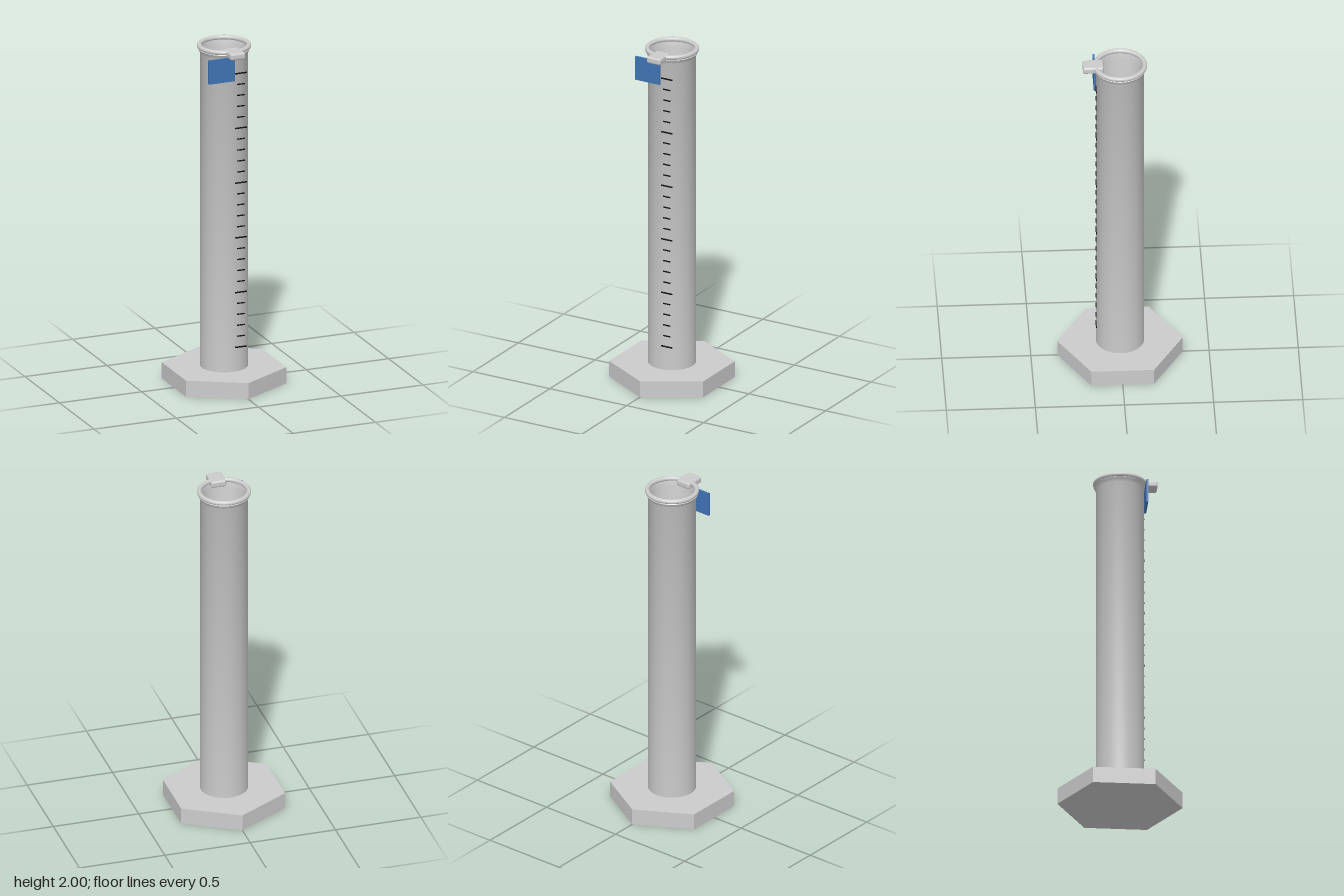
import * as THREE from 'three';
import { RoundedBoxGeometry } from 'three/addons/geometries/RoundedBoxGeometry.js';
import { toCreasedNormals } from 'three/addons/utils/BufferGeometryUtils.js';

export function createModel() {
  const model = new THREE.Group();
  model.name = 'measuringCylinder';
  const grey = new THREE.MeshStandardMaterial({ color: 0xcccccc });
  const facetedGrey = new THREE.MeshStandardMaterial({ color: 0xcccccc, flatShading: true });
  const black = new THREE.MeshStandardMaterial({ color: 0x111111 });
  const blue = new THREE.MeshStandardMaterial({ color: 0x3f74b5 });

  function add(parent, name, geometry, material, x = 0, y = 0, z = 0) {
    const mesh = new THREE.Mesh(geometry, material);
    mesh.name = name;
    mesh.position.set(x, y, z);
    parent.add(mesh);
    return mesh;
  }

  // Hexagonal foot with corners to the front and back
  const footHeight = 0.095;
  add(model, 'foot', new THREE.CylinderGeometry(0.352, 0.352, footHeight, 6), facetedGrey, 0, footHeight / 2);

  // Hollow tube: outer wall, flared lip, then down the inside to the floor
  const profile = [
    [0.135, 0.09], [0.135, 1.945], [0.142, 1.958], [0.148, 1.97],
    [0.134, 1.985], [0.122, 1.94], [0.122, 0.13], [0.105, 0.11], [0, 0.105],
  ].map(([r, y]) => new THREE.Vector2(r, y));
  add(model, 'tube', toCreasedNormals(new THREE.LatheGeometry(profile, 64), 0.6), grey);

  // Rounded bead around the mouth
  const bead = new THREE.TorusGeometry(0.1385, 0.0135, 16, 64).rotateX(Math.PI / 2);
  add(model, 'rim', bead, grey, 0, 1.985);

  // Pouring spout block across the front of the rim
  add(model, 'spout', new RoundedBoxGeometry(0.09, 0.04, 0.117, 4, 0.012), grey, 0, 1.979, 0.151);

  // Label plate beside the scale
  add(model, 'label', new THREE.BoxGeometry(0.159, 0.141, 0.011), blue, -0.0735, 1.886, 0.1415);

  // Graduations: every fifth one is longer
  const scale = new THREE.Group();
  scale.name = 'graduations';
  model.add(scale);
  const longMark = new THREE.BoxGeometry(0.07, 0.007, 0.005);
  const shortMark = new THREE.BoxGeometry(0.045, 0.006, 0.005);
  for (let i = 0; i <= 25; i++) {
    const major = i % 5 === 0;
    add(scale, major ? 'longMark' : 'shortMark', major ? longMark : shortMark, black,
      0.046, 0.238 + i * 0.0647, 0.1365);
  }

  return model;
}
